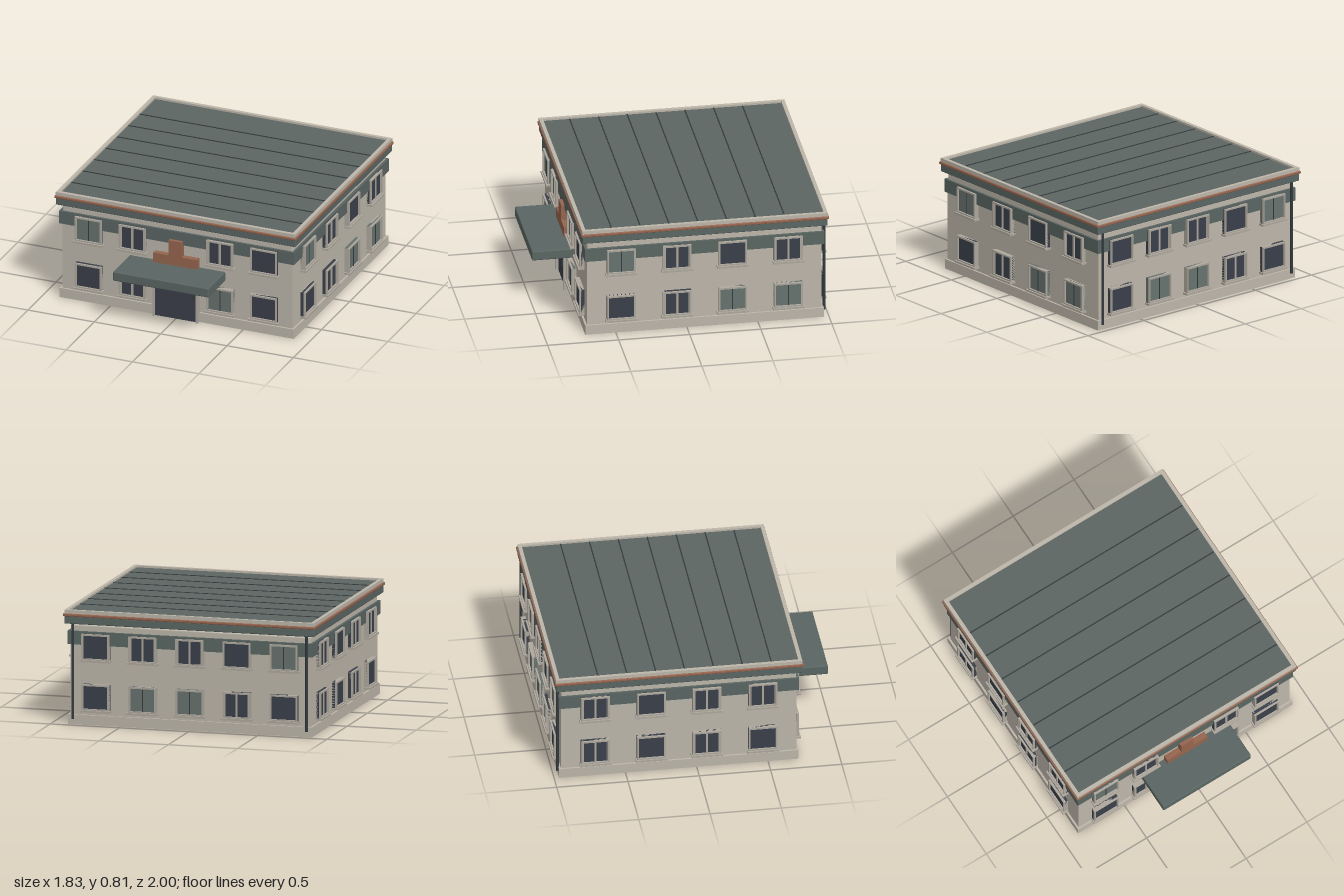
import * as THREE from 'three';
import { RoundedBoxGeometry } from 'three/addons/geometries/RoundedBoxGeometry.js';

const mat = (name, color) => Object.assign(new THREE.MeshStandardMaterial({ color }), { name });
const M = {
  wall: mat('cream wall', 0xbdb6aa),
  trim: mat('pale trim', 0xaea89d),
  green: mat('grey green', 0x5a6663),
  roof: mat('roof green', 0x5c6562),
  rust: mat('rust orange', 0x96654f),
  dark: mat('dark glass', 0x3a3f4a),
  pale: mat('curtained glass', 0x67726e),
  pipe: mat('dark metal', 0x343b3e),
};
const CZ = -0.125; // building centre along z

// Box given by its limits on each axis; r rounds its edges
function box(parent, name, m, [x0, x1], [y0, y1], [z0, z1], r = 0) {
  const s = [x1 - x0, y1 - y0, z1 - z0];
  const geo = r ? new RoundedBoxGeometry(...s, 2, r) : new THREE.BoxGeometry(...s);
  const mesh = new THREE.Mesh(geo, m);
  mesh.name = name;
  mesh.position.set((x0 + x1) / 2, (y0 + y1) / 2, (z0 + z1) / 2);
  parent.add(mesh);
  return mesh;
}

// Layer centred on the building, by half width and half depth
const layer = (g, name, m, hx, hz, y0, y1, r) =>
  box(g, name, m, [-hx, hx], [y0, y1], [CZ - hz, CZ + hz], r);

// Window facing +z, wall plane at z = 0. D dark, P dark with mullion, L curtained
function makeWindow(type, x, y) {
  const w = new THREE.Group();
  w.name = 'window';
  const hw = 0.1, h = 0.185, t = 0.012;
  box(w, 'glass', type === 'L' ? M.pale : M.dark, [-hw, hw], [0, h], [-0.01, 0.022]);
  for (const s of [-1, 1]) {
    const a = s * hw, b = s * (hw - t);
    box(w, 'frameSide', M.trim, [Math.min(a, b), Math.max(a, b)], [0, h], [0, 0.035]);
  }
  box(w, 'frameTop', M.trim, [-hw, hw], [h - t, h], [0, 0.035]);
  box(w, 'frameBottom', M.trim, [-hw, hw], [0, t], [0, 0.035]);
  if (type === 'P') {
    box(w, 'mullion', M.trim, [-0.007, 0.007], [t, h - t], [0.01, 0.029]);
    for (const s of [-1, 1]) box(w, 'sash', M.trim, [s * 0.083 - 0.003, s * 0.083 + 0.003], [t, h - t], [0.01, 0.027]);
  } else if (type === 'L') {
    box(w, 'mullion', M.pipe, [-0.003, 0.003], [t, h - t], [0.01, 0.026]);
  }
  box(w, 'sill', M.trim, [-0.11, 0.11], [-0.012, 0.002], [-0.005, 0.046]);
  w.position.set(x, y, 0);
  return w;
}

// Two rows of windows on one side of the building
function facade(name, xs, upper, lower, angle, dist) {
  const g = new THREE.Group();
  g.name = name;
  xs.forEach((x, i) => {
    g.add(makeWindow(lower[i], x, 0.105));
    g.add(makeWindow(upper[i], x, 0.46));
  });
  g.rotation.y = angle;
  g.position.set(Math.sin(angle) * dist, 0, CZ + Math.cos(angle) * dist);
  return g;
}

export function createModel() {
  const g = new THREE.Group();
  g.name = 'building';

  // Walls and bands
  layer(g, 'plinth', M.wall, 0.882, 0.84, 0, 0.07);
  layer(g, 'walls', M.wall, 0.868, 0.826, 0.06, 0.66);
  layer(g, 'greenBand', M.green, 0.885, 0.843, 0.565, 0.66);
  layer(g, 'upperCornice', M.wall, 0.868, 0.826, 0.64, 0.705, 0.012);
  layer(g, 'eavesCore', M.wall, 0.855, 0.813, 0.7, 0.72);

  // Roof edge, parapet and seams
  layer(g, 'roofFascia', M.green, 0.902, 0.862, 0.712, 0.767, 0.006);
  layer(g, 'rustStripe', M.rust, 0.91, 0.872, 0.765, 0.785, 0.006);
  layer(g, 'roofPanel', M.roof, 0.885, 0.845, 0.78, 0.796);
  for (const s of [-1, 1]) {
    const x = s * 0.888, z = CZ + s * 0.851;
    box(g, 'parapetSide', M.wall, [x - 0.013, x + 0.013], [0.78, 0.81], [CZ - 0.864, CZ + 0.864]);
    box(g, 'parapetEnd', M.wall, [-0.876, 0.876], [0.78, 0.81], [z - 0.013, z + 0.013]);
  }
  for (let i = 0; i < 7; i++) {
    const z = -0.69 + i * 0.2027;
    box(g, 'roofSeam', M.pipe, [-0.874, 0.874], [0.79, 0.8], [z - 0.004, z + 0.004]);
  }

  // Windows
  const four = [-0.66, -0.33, 0.33, 0.66];
  const side = [-0.588, -0.195, 0.195, 0.588];
  const five = [-0.68, -0.34, 0, 0.34, 0.68];
  g.add(facade('frontWindows', four, 'LPPD', 'DPLD', 0, 0.826));
  g.add(facade('leftWindows', side, 'LPDP', 'DPLL', Math.PI / 2, 0.868));
  g.add(facade('backWindows', five, 'DPPDL', 'DLLPD', Math.PI, 0.826));
  g.add(facade('rightWindows', side, 'PDPP', 'PDPD', -Math.PI / 2, 0.868));

  // Entrance
  box(g, 'door', M.dark, [-0.158, 0.158], [0, 0.345], [0.69, 0.728]);
  for (const s of [-1, 1]) {
    box(g, 'doorJamb', M.trim, [s * 0.163 - 0.007, s * 0.163 + 0.007], [0, 0.345], [0.69, 0.748]);
  }
  box(g, 'doorHandle', M.pipe, [0.136, 0.144], [0.175, 0.215], [0.725, 0.758]);
  box(g, 'canopy', M.green, [-0.36, 0.36], [0.34, 0.41], [0.69, 1], 0.008);
  box(g, 'entranceLamp', M.pipe, [0.185, 0.22], [0.324, 0.342], [0.7, 0.757]);

  // Cross on the entrance wall
  const c = new THREE.Shape();
  const a = 0.05, b = 0.165;
  [[-a, -b], [a, -b], [a, -a], [b, -a], [b, a], [a, a], [a, b], [-a, b], [-a, a], [-b, a], [-b, -a], [-a, -a]]
    .forEach(([x, y], i) => (i ? c.lineTo(x, y) : c.moveTo(x, y)));
  const cross = new THREE.Mesh(new THREE.ExtrudeGeometry(c, { depth: 0.045, bevelEnabled: false }), M.rust);
  cross.name = 'entranceCross';
  cross.position.set(0, 0.432, 0.698);
  g.add(cross);

  // Downpipes at the back corners
  for (const s of [-1, 1]) {
    const p = new THREE.Mesh(new THREE.CylinderGeometry(0.01, 0.01, 0.68, 10), M.pipe);
    p.name = 'downpipe';
    p.position.set(s * 0.845, 0.38, -0.972);
    g.add(p);
  }
  return g;
}
